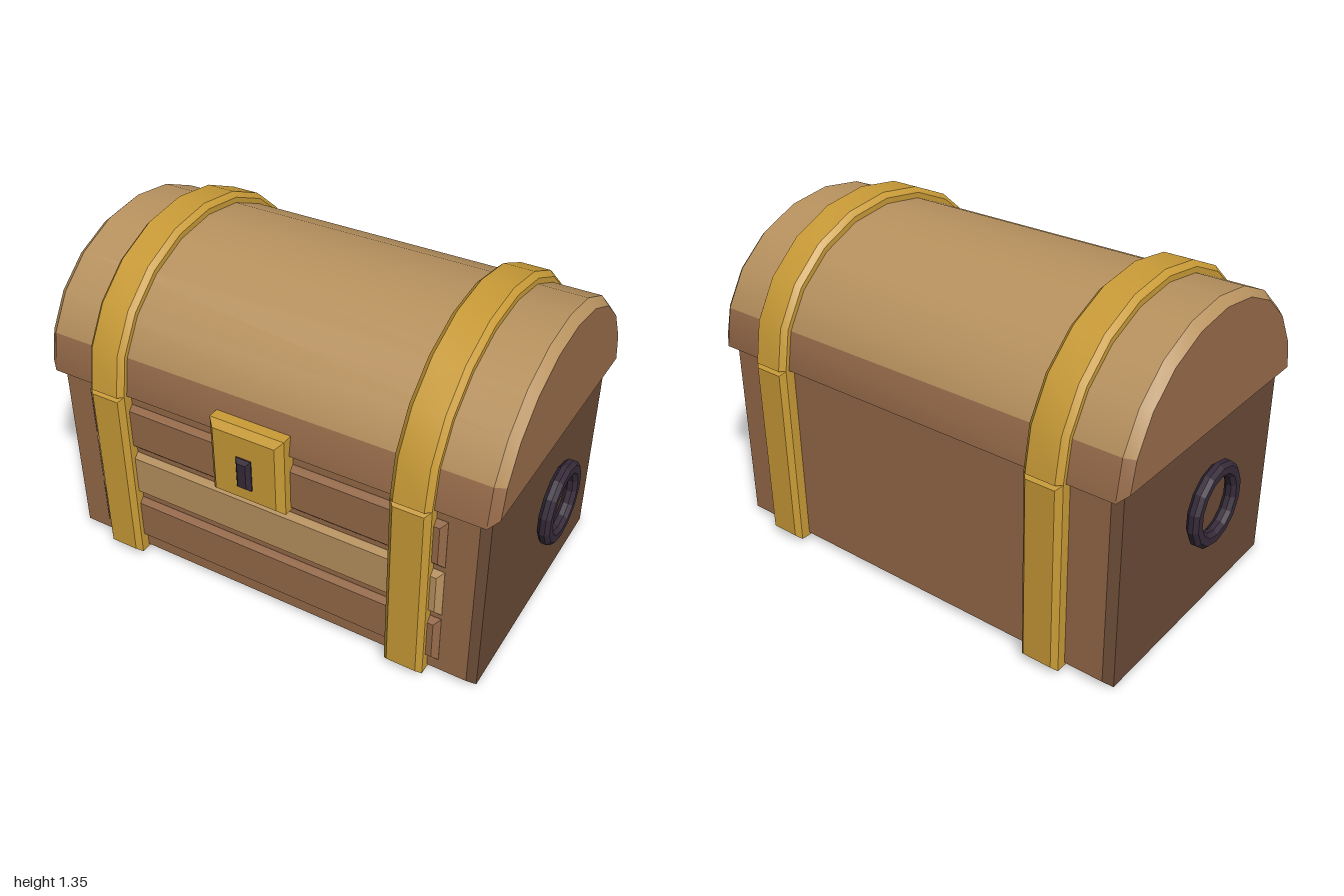
import * as THREE from 'three';
import { toCreasedNormals } from 'three/addons/utils/BufferGeometryUtils.js';

const CZ = -0.02; // depth centre of the chest

const paint = (name, color) => {
  const m = new THREE.MeshStandardMaterial({ color });
  m.name = name;
  return m;
};

// Lofts a convex outline along z. outline(inset) gives counter-clockwise [x, y] points,
// sections is a list of [inset, z]. Group 0 is the caps, sideGroup(j) picks the side group.
function loft(outline, sections, sideGroup = () => 0) {
  const loops = sections.map(([inset, z]) => outline(inset).map(([x, y]) => [x, y, z]));
  const buckets = [[], [], []];
  const n = loops[0].length;
  const last = loops[loops.length - 1];
  for (let j = 1; j < n - 1; j++) {
    buckets[0].push(loops[0][0], loops[0][j + 1], loops[0][j], last[0], last[j], last[j + 1]);
  }
  for (let i = 0; i < loops.length - 1; i++) {
    for (let j = 0; j < n; j++) {
      const k = (j + 1) % n;
      const a = loops[i][j], b = loops[i][k], c = loops[i + 1][k], d = loops[i + 1][j];
      buckets[sideGroup(j)].push(a, b, c, a, c, d);
    }
  }
  const geo = new THREE.BufferGeometry();
  geo.setAttribute('position', new THREE.Float32BufferAttribute(buckets.flat(2), 3));
  let start = 0;
  buckets.forEach((b, g) => {
    if (b.length) geo.addGroup(start, b.length, g);
    start += b.length;
  });
  return toCreasedNormals(geo, 0.6);
}

// Rectangle outline that shrinks by the inset
const rect = (x0, x1, y0, y1) => (s) =>
  [[x0 + s, y0 + s], [x1 - s, y0 + s], [x1 - s, y1 - s], [x0 + s, y1 - s]];

// Half-ellipse outline in ten segments
const arch = (rx, ry, base, lift) => (s) =>
  Array.from({ length: 11 }, (_, i) => {
    const a = (i * Math.PI) / 10;
    const y = base + (i % 10 ? Math.sin(a) * (ry - s) : s * lift);
    return [Math.cos(a) * (rx - s), y];
  });

export function createModel() {
  const tan = paint('light wood', 0xb8925f);
  const wood = paint('medium wood', 0x966a49);
  const dark = paint('dark wood', 0x684935);
  const gold = paint('gold trim', 0xc99b37);
  const iron = paint('dark iron', 0x352a39);

  const chest = new THREE.Group();
  chest.name = 'chest';
  const add = (name, geo, mat, x = 0, y = 0, z = CZ) => {
    const mesh = new THREE.Mesh(geo, mat);
    mesh.name = name;
    mesh.position.set(x, y, z);
    chest.add(mesh);
    return mesh;
  };

  // Body: dark sides and bevels, medium front and back
  add('body', loft(rect(-0.92, 0.92, 0, 0.82),
    [[0.03, -0.565], [0, -0.535], [0, 0.535], [0.03, 0.565]], () => 1), [wood, dark]);

  // Lid: light curved top, medium ends and lower rim
  const lid = loft(arch(0.59, 0.51, 0.8, 1),
    [[0.03, -0.955], [0, -0.92], [0, 0.92], [0.03, 0.955]],
    (j) => (j > 0 && j < 9 ? 1 : 0));
  add('lid', lid.rotateY(Math.PI / 2), [wood, tan]);

  // Front planks
  [[0.08, wood], [0.31, tan], [0.54, wood]].forEach(([y, mat], i) => {
    add('plank' + (i + 1), loft(rect(-0.775, 0.775, y, y + 0.208),
      [[0, 0.55], [0, 0.566], [0.022, 0.586]]), mat);
  });

  // Gold bands over the lid and down the front and back
  const lidBand = loft(arch(0.625, 0.55, 0.803, 0),
    [[0.02, -0.08], [0, -0.06], [0, 0.06], [0.02, 0.08]]).rotateY(Math.PI / 2);
  const bodyBand = loft(rect(-0.08, 0.08, 0.018, 0.803),
    [[0, 0.55], [0, 0.605], [0.02, 0.625]]);
  for (const [side, s] of [['left', 1], ['right', -1]]) {
    add(side + 'LidBand', lidBand, gold, s * 0.65);
    add(side + 'FrontBand', bodyBand, gold, s * 0.65);
    add(side + 'BackBand', bodyBand, gold, s * 0.65).rotation.y = Math.PI;
  }

  // Lock plate and keyhole
  add('lockPlate', loft(rect(-0.158, 0.158, 0.55, 0.88),
    [[0, 0.54], [0, 0.6], [0.026, 0.625]]), gold, 0, 0, 0);
  add('keyhole', loft(rect(-0.032, 0.032, 0.628, 0.762),
    [[0, 0.61], [0, 0.63], [0.014, 0.645]]), iron, 0, 0, 0);

  // Ring handles with a chamfered section
  const section = [[0.125, -0.025], [0.155, -0.025], [0.17, -0.01], [0.17, 0.01],
    [0.155, 0.025], [0.125, 0.025], [0.11, 0.01], [0.11, -0.01], [0.125, -0.025]];
  const ring = toCreasedNormals(new THREE.LatheGeometry(
    section.map(([r, y]) => new THREE.Vector2(r, y)), 14, Math.PI / 2), 0.3);
  ring.rotateZ(-Math.PI / 2);
  add('leftHandle', ring, iron, 0.975, 0.51);
  add('rightHandle', ring, iron, -0.975, 0.51);

  return chest;
}
